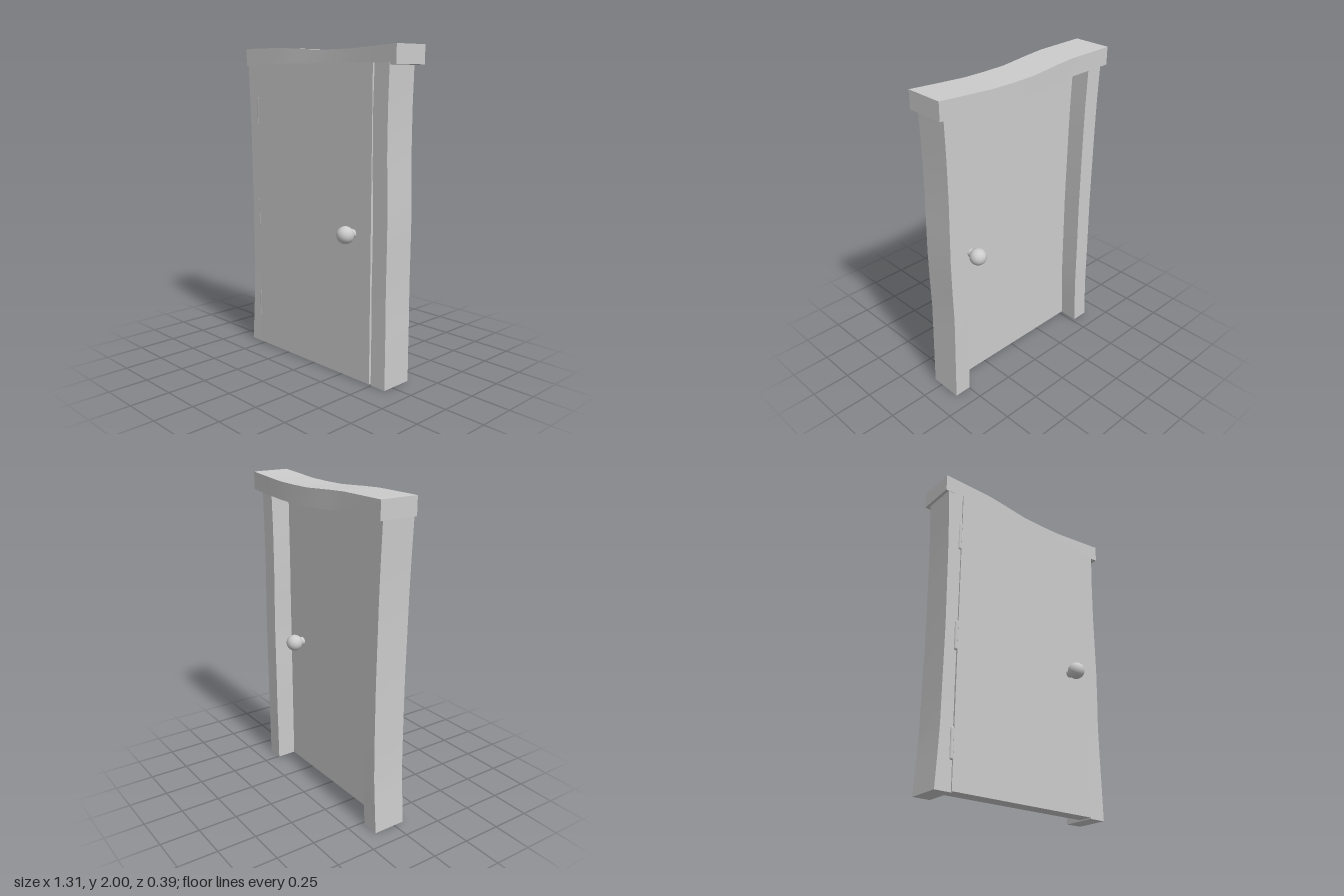
import * as THREE from 'three';

const material = new THREE.MeshStandardMaterial({ color: 0xcccccc });

function addMesh(parent, name, geometry, x = 0, y = 0, z = 0) {
  const mesh = new THREE.Mesh(geometry, material);
  mesh.name = name;
  mesh.position.set(x, y, z);
  parent.add(mesh);
  return mesh;
}

// A wavy timber: a box divided along `axis`, each ring moved to a station
// [position along the axis, shift across, shift in z].
function timber(size, axis, stations) {
  const n = stations.length - 1;
  const across = axis === 'x' ? 'y' : 'x';
  const segments = axis === 'x' ? [n, 1, 1] : [1, n, 1];
  const geometry = new THREE.BoxGeometry(...size, ...segments);
  const length = axis === 'x' ? size[0] : size[1];
  const p = geometry.attributes.position;
  const v = new THREE.Vector3();
  for (let i = 0; i < p.count; i++) {
    v.fromBufferAttribute(p, i);
    const [along, side, depth] = stations[Math.round((v[axis] / length + 0.5) * n)];
    v[axis] = along;
    v[across] += side;
    v.z += depth;
    p.setXYZ(i, v.x, v.y, v.z);
  }
  geometry.computeVertexNormals();
  return geometry;
}

export function createModel() {
  const model = new THREE.Group();
  model.name = 'door';

  // Door leaf
  addMesh(model, 'doorLeaf', new THREE.BoxGeometry(1.015, 1.895, 0.097), -0.02, 0.953, 0.0265);

  // Side posts, bending gently in and out
  addMesh(model, 'hingePost', timber([0.11, 1.9, 0.211], 'y', [
    [0, -0.578, -0.038], [0.2, -0.566, -0.04], [0.36, -0.558, -0.042],
    [0.6, -0.556, -0.043], [0.95, -0.554, -0.041], [1.2, -0.558, -0.04],
    [1.45, -0.562, -0.039], [1.65, -0.568, -0.038], [1.9, -0.58, -0.038],
  ]));
  addMesh(model, 'latchPost', timber([0.11, 1.9, 0.211], 'y', [
    [0, 0.55, -0.038], [0.2, 0.548, -0.04], [0.4, 0.546, -0.043],
    [0.6, 0.543, -0.044], [0.8, 0.547, -0.042], [1.0, 0.549, -0.041],
    [1.2, 0.545, -0.04], [1.4, 0.541, -0.039], [1.65, 0.542, -0.038], [1.9, 0.549, -0.038],
  ]));

  // Lintel, sagging and bowing backwards in the middle
  addMesh(model, 'lintel', timber([1.306, 0.11, 0.243], 'x', [
    [-0.653, 1.945, -0.053], [-0.33, 1.944, -0.054], [-0.2, 1.938, -0.061],
    [0, 1.926, -0.074], [0.16, 1.925, -0.075], [0.3, 1.927, -0.074],
    [0.48, 1.936, -0.064], [0.653, 1.945, -0.053],
  ]));

  // Knob and neck on both faces of the door
  for (const [side, z] of [['front', 0.14], ['back', -0.087]]) {
    const knob = new THREE.Group();
    knob.name = side + 'Knob';
    knob.position.set(0.345, 0.91, z);
    model.add(knob);
    addMesh(knob, 'knobBall', new THREE.SphereGeometry(0.053, 32, 20));
    const neck = addMesh(knob, 'knobNeck', new THREE.CylinderGeometry(0.027, 0.027, 0.09, 24),
      0, 0, side === 'front' ? -0.045 : 0.045);
    neck.rotation.x = Math.PI / 2;
  }

  // Three hinge pins
  for (const y of [0.27, 0.917, 1.593]) {
    addMesh(model, 'hinge', new THREE.CapsuleGeometry(0.0125, 0.166, 4, 16), -0.533, y, 0.063);
  }

  return model;
}
